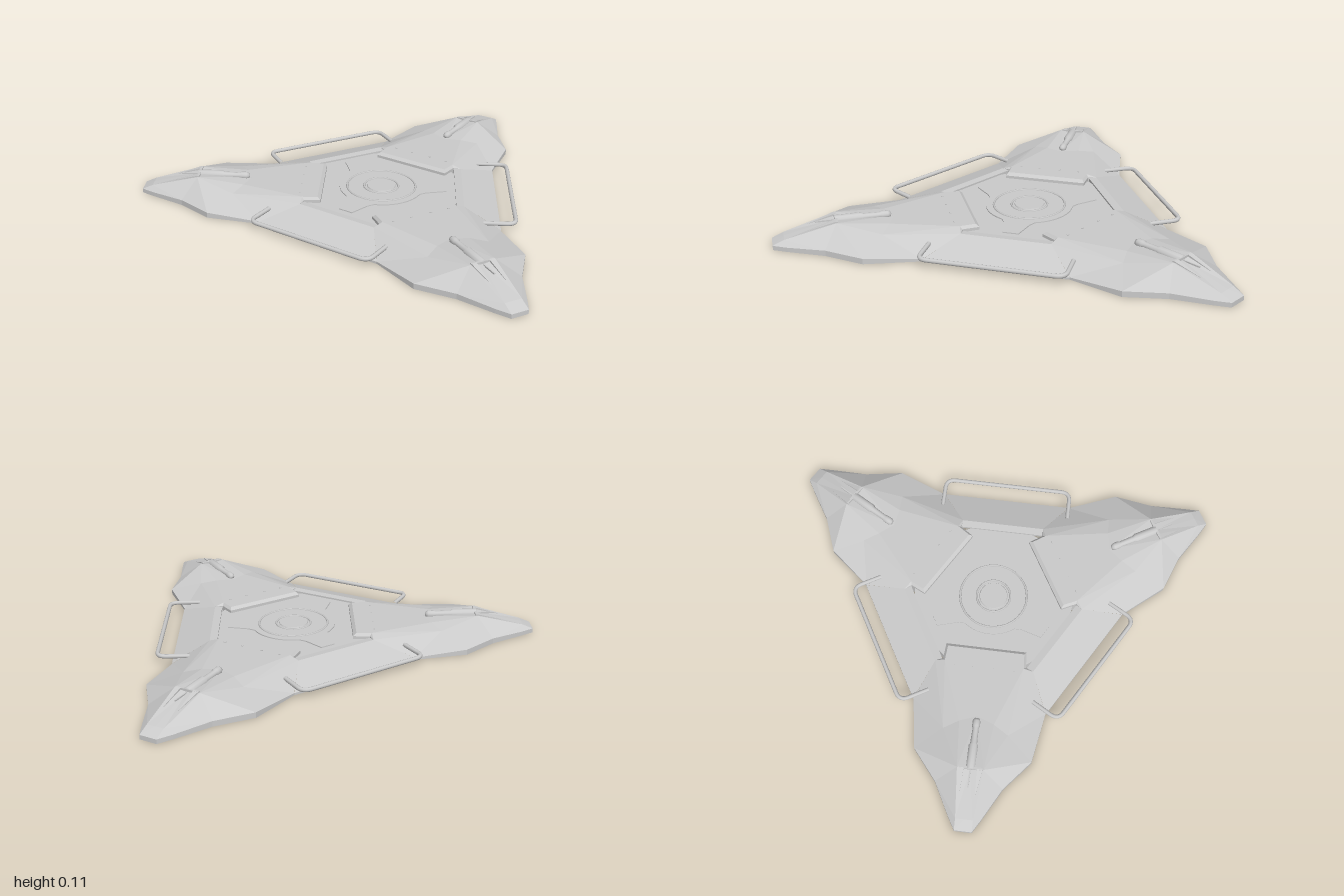
import * as THREE from 'three';

const mat = new THREE.MeshStandardMaterial({ color: 0xcccccc, flatShading: true });
const smooth = new THREE.MeshStandardMaterial({ color: 0xcccccc });
const V = (x, y, z) => new THREE.Vector3(x, y, z);
const mirror = (p) => V(p.x, p.y, -p.z);

function add(parent, name, geo, material = mat, x = 0, y = 0, z = 0) {
  const m = new THREE.Mesh(geo, material);
  m.name = name;
  m.position.set(x, y, z);
  parent.add(m);
  return m;
}

// Faceted shell from polygons; each triangle is turned to face away from an inner point
function facets(polys, inner) {
  const pos = [];
  for (const poly of polys) {
    for (let i = 1; i < poly.length - 1; i++) {
      const t = [poly[0], poly[i], poly[i + 1]];
      const n = t[1].clone().sub(t[0]).cross(t[2].clone().sub(t[0]));
      if (n.dot(t[0].clone().sub(inner)) < 0) t.reverse();
      t.forEach((p) => pos.push(p.x, p.y, p.z));
    }
  }
  const g = new THREE.BufferGeometry();
  g.setAttribute('position', new THREE.Float32BufferAttribute(pos, 3));
  g.computeVertexNormals();
  return g;
}

// Ground outline of one arm: x runs outwards, z sideways
const rim = [V(0.54, 0.01, 0.31), V(0.78, 0.025, 0.27), V(0.92, 0.025, 0.155), V(1.07, 0.02, 0.075), V(1.13, 0.02, 0.04)];
const ground = (p) => V(p.x, 0, p.z);

function armGeometry() {
  const A0 = V(0.285, 0.08, 0), A = V(0.285, 0.08, 0.18), B = V(0.355, 0.08, 0.185), B2 = V(0.36, 0.066, 0.23);
  const C = V(0.68, 0.066, 0.15), D = V(0.61, 0.08, 0), D1 = V(0.64, 0.08, 0.08);
  const E = V(0.86, 0.093, 0), E1 = V(0.86, 0.1, 0.06);
  const F = V(1.08, 0.043, 0), F1 = V(1.08, 0.042, 0.04);
  const [H0, H1, H2, H3, H4] = rim, G = V(1.13, 0.02, 0);
  const L0 = V(0.27, 0.068, 0), L = V(0.27, 0.068, 0.19), K = V(0.345, 0.068, 0.195);
  const half = [
    [A0, A, B, D1, D], [B, C, D1], [B, B2, C],             // plate
    [A0, L0, L, A], [A, L, K, B], [B, K, B2],               // bevelled inner edge
    [L0, ground(L0), ground(L), L], [L, ground(L), ground(K), K], [K, ground(K), ground(B2), B2],
    [B2, H0, C], [C, H0, H1], [C, H1, E1], [D1, C, E1], [D, D1, E1, E], // flanks
    [E1, H1, H2], [E1, H2, F1], [H2, H3, F1], [F1, H3, H4],
    [E, E1, F1, F], [F, F1, H4, G], [G, H4, ground(H4), ground(G)],
  ];
  for (let i = 0; i < 4; i++) half.push([rim[i], rim[i + 1], ground(rim[i + 1]), ground(rim[i])]);
  return facets([...half, ...half.map((p) => p.map(mirror))], V(0.6, 0, 0));
}

// Sloped skirt between two arms
function skirtGeometry() {
  const prof = [V(0.345, 0.05, 0.2), V(0.345, 0.063, 0.2), V(0.379, 0.066, 0.197), V(0.54, 0.01, 0.3125), V(0.54, 0, 0.3125)];
  const polys = [];
  for (let i = 0; i < prof.length - 1; i++) {
    polys.push([prof[i], prof[i + 1], mirror(prof[i + 1]), mirror(prof[i])]);
  }
  return facets(polys, V(0.42, 0, 0));
}

// Bent handrail with rounded corners
function railGeometry() {
  const path = new THREE.CurvePath();
  const y = 0.045, x0 = 0.46, x1 = 0.605, w = 0.31, r = 0.045;
  const line = (a, b) => path.add(new THREE.LineCurve3(a, b));
  const bend = (a, b, c) => path.add(new THREE.QuadraticBezierCurve3(a, b, c));
  line(V(x0, y, w), V(x1 - r, y, w));
  bend(V(x1 - r, y, w), V(x1, y, w), V(x1, y, w - r));
  line(V(x1, y, w - r), V(x1, y, r - w));
  bend(V(x1, y, r - w), V(x1, y, -w), V(x1 - r, y, -w));
  line(V(x1 - r, y, -w), V(x0, y, -w));
  return new THREE.TubeGeometry(path, 90, 0.01, 8);
}

// Three-pronged raised plate
function emblemGeometry() {
  const s = new THREE.Shape();
  for (let k = 0; k < 3; k++) {
    const a = (k * 2 * Math.PI) / 3;
    const at = (x, y) => [x * Math.cos(a) - y * Math.sin(a), x * Math.sin(a) + y * Math.cos(a)];
    const pts = [[0.18, -0.075], [0.21, -0.058], [0.305, -0.035], [0.305, 0.035], [0.21, 0.058], [0.18, 0.075]];
    pts.forEach((p, i) => (k || i ? s.lineTo(...at(...p)) : s.moveTo(...at(...p))));
    s.absarc(0, 0, 0.195, a + 0.4, a + (2 * Math.PI) / 3 - 0.4, false);
  }
  return new THREE.ExtrudeGeometry(s, { depth: 0.006, bevelEnabled: false, curveSegments: 16 }).rotateX(-Math.PI / 2);
}

// Turned barrel lying along x
function barrelGeometry() {
  const pts = [[0, 0.62], [0.012, 0.623], [0.018, 0.635], [0.018, 0.66], [0.014, 0.67], [0.016, 0.74], [0.022, 0.75], [0.022, 0.86], [0, 0.86]];
  return new THREE.LatheGeometry(pts.map((p) => new THREE.Vector2(...p)), 12).rotateZ(-Math.PI / 2);
}

export function createModel() {
  const model = new THREE.Group();
  model.name = 'landingPad';
  const hub = new THREE.Group();
  hub.name = 'hub';
  hub.position.x = 0.25;
  model.add(hub);

  // Central deck with raised rings
  add(hub, 'deck', new THREE.CylinderGeometry(0.38, 0.38, 0.05, 24), mat, 0, 0.03, 0);
  add(hub, 'prongPlate', emblemGeometry(), mat, 0, 0.054, 0);
  for (const r of [0.16, 0.08]) {
    add(hub, 'deckRing', new THREE.TorusGeometry(r, 0.005, 6, 40).rotateX(Math.PI / 2), smooth, 0, 0.06, 0);
  }
  add(hub, 'centreDisc', new THREE.CylinderGeometry(0.065, 0.068, 0.006, 32), mat, 0, 0.062, 0);

  const arm = armGeometry(), skirt = skirtGeometry(), rail = railGeometry(), barrel = barrelGeometry();
  const outline = [];
  for (let k = 0; k < 3; k++) {
    const a = Math.PI + (k * 2 * Math.PI) / 3;

    // Arm with barrel, yoke and studs
    const armGroup = new THREE.Group();
    armGroup.name = 'arm';
    armGroup.rotation.y = -a;
    hub.add(armGroup);
    add(armGroup, 'armShell', arm);
    add(armGroup, 'barrel', barrel, smooth, 0, 0.088, 0);
    add(armGroup, 'yoke', new THREE.BoxGeometry(0.012, 0.014, 0.11), mat, 0.858, 0.097, 0);
    add(armGroup, 'rod', new THREE.BoxGeometry(0.09, 0.006, 0.006), mat, 0.9, 0.09, 0);
    for (const s of [-1, 1]) {
      const fin = facets([
        [V(0.86, 0.105, s * 0.055), V(0.86, 0.105, s * 0.03), V(0.98, 0.068, s * 0.035)],
        [V(0.86, 0.105, s * 0.03), V(0.98, 0.068, s * 0.035), V(0.86, 0.085, s * 0.03)],
        [V(0.86, 0.105, s * 0.055), V(0.98, 0.068, s * 0.035), V(0.86, 0.085, s * 0.055)],
      ], V(0.88, 0.09, s * 0.042));
      add(armGroup, 'fin', fin);
    }
    for (const z of [-0.14, -0.05, 0.05, 0.14]) {
      add(armGroup, 'stud', new THREE.BoxGeometry(0.007, 0.004, 0.01), mat, 0.37, 0.081, z);
    }

    // Skirt and handrail between arms
    const side = new THREE.Group();
    side.name = 'side';
    side.rotation.y = -a - Math.PI / 3;
    hub.add(side);
    add(side, 'skirt', skirt);
    add(side, 'handrail', rail, smooth);

    // Footprint of the arm, in order around the hub
    for (const p of [...rim.map(mirror), ...[...rim].reverse()]) {
      outline.push(new THREE.Vector2(p.x * Math.cos(a) - p.z * Math.sin(a), p.x * Math.sin(a) + p.z * Math.cos(a)));
    }
  }

  // Flat underside
  add(hub, 'underside', new THREE.ShapeGeometry(new THREE.Shape(outline)).rotateX(Math.PI / 2));
  return model;
}
